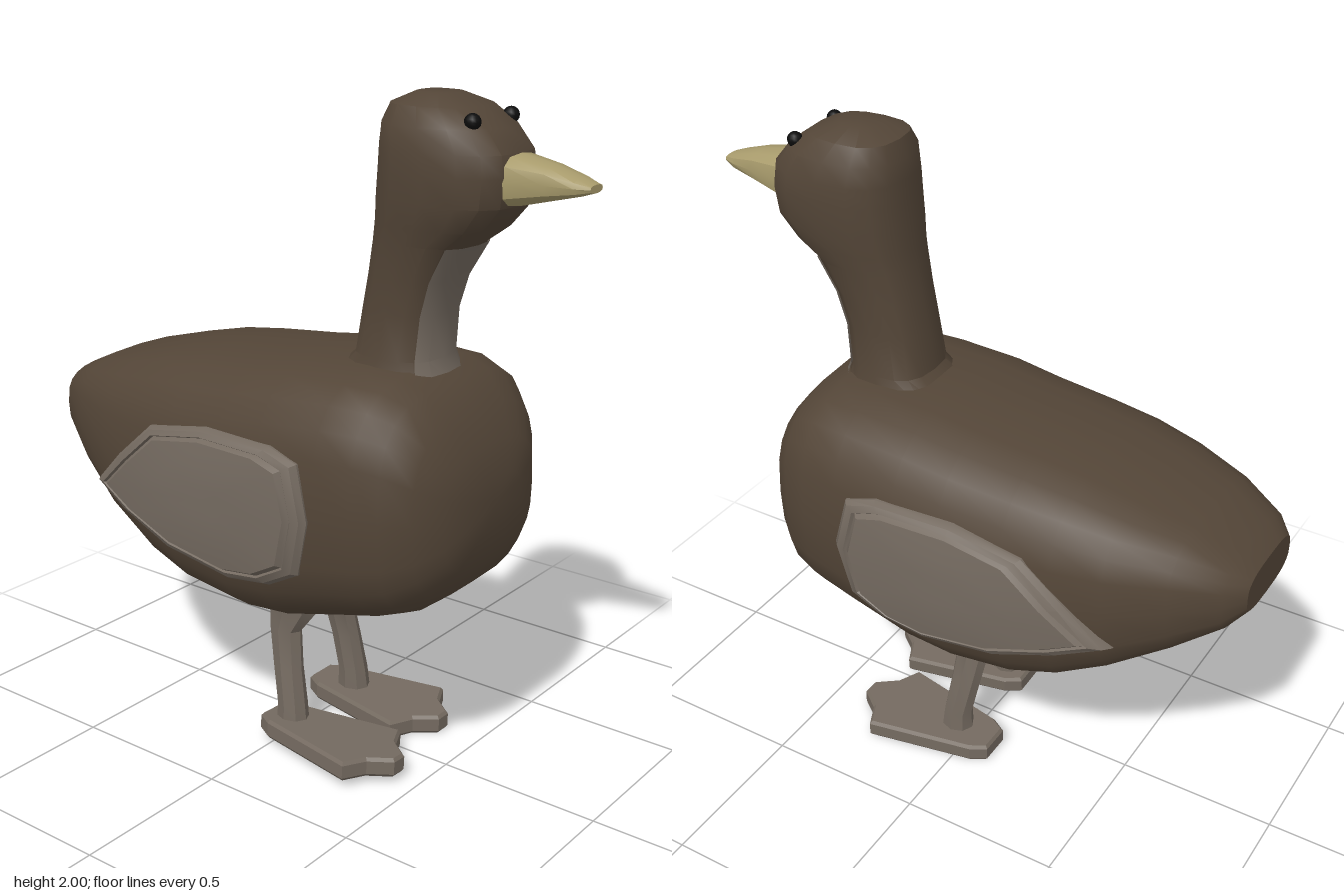
import * as THREE from 'three';
import { toCreasedNormals } from 'three/addons/utils/BufferGeometryUtils.js';

const mat = (color, side = THREE.FrontSide) => new THREE.MeshStandardMaterial({ color, side });
const BROWN = mat(0x534537), GREY = mat(0x746a60), THROAT = mat(0x746a60, THREE.DoubleSide);
const BEAK = mat(0xa89b6c), BLACK = mat(0x0c0c0c);

function mesh(name, geometry, material) {
  const m = new THREE.Mesh(geometry, material);
  m.name = name;
  return m;
}

// Join equal-length rings of [x, y, z] points with quads, optionally closing the ends with fans.
function skin(rings, { flip = false, caps = true, crease = 0.6 } = {}) {
  const n = rings[0].length, pos = rings.flat(2), idx = [];
  const tri = (a, b, c) => (flip ? idx.push(a, c, b) : idx.push(a, b, c));
  for (let r = 0; r < rings.length - 1; r++) {
    for (let i = 0; i < (caps ? n : n - 1); i++) {
      const a = r * n + i, b = r * n + (i + 1) % n;
      tri(a, b, b + n);
      tri(a, b + n, a + n);
    }
  }
  if (caps) {
    [0, rings.length - 1].forEach((r, end) => {
      const mid = pos.length / 3;
      for (let k = 0; k < 3; k++) pos.push(rings[r].reduce((s, p) => s + p[k], 0) / n);
      for (let i = 0; i < n; i++) {
        const a = r * n + i, b = r * n + (i + 1) % n;
        end ? tri(mid, a, b) : tri(mid, b, a);
      }
    });
  }
  const g = new THREE.BufferGeometry();
  g.setAttribute('position', new THREE.Float32BufferAttribute(pos, 3));
  g.setIndex(idx);
  return toCreasedNormals(g, crease);
}

// Sections [t, low, high, halfWidth, centreX] as superellipses of power p, stacked along z or y.
function loft(sections, { axis = 'z', p = 2, n = 16, from = 0, to = 2 * Math.PI, crease = 0.6 } = {}) {
  const open = to - from < 6.2;
  const bend = (v) => Math.sign(v) * Math.abs(v) ** (2 / p);
  const rings = sections.map(([t, lo, hi, w, cx = 0]) =>
    Array.from({ length: open ? n + 1 : n }, (_, i) => {
      const a = from + ((to - from) * i) / n;
      const x = cx + w * bend(Math.cos(a)), s = (lo + hi) / 2 + ((hi - lo) / 2) * bend(Math.sin(a));
      return axis === 'z' ? [x, s, t] : [x, t, s];
    }));
  return skin(rings, { flip: axis === 'y', caps: !open, crease });
}

// Body from tail to breast
const BODY_POWER = 3.1;
const body = [
  [-0.9, 0.88, 1.01, 0.15], [-0.85, 0.82, 1.05, 0.21], [-0.72, 0.72, 1.11, 0.285],
  [-0.55, 0.6, 1.155, 0.35], [-0.4, 0.51, 1.19, 0.38], [-0.25, 0.455, 1.21, 0.395],
  [-0.05, 0.43, 1.23, 0.405], [0.1, 0.445, 1.25, 0.41], [0.3, 0.5, 1.255, 0.405],
  [0.42, 0.53, 1.25, 0.395], [0.5, 0.56, 1.22, 0.37], [0.57, 0.62, 1.14, 0.31],
  [0.62, 0.7, 1.05, 0.23], [0.645, 0.81, 0.96, 0.12],
];

// Half width of the body at a given height and depth
function bodyX(y, z) {
  const i = Math.max(1, body.findIndex((s) => s[0] >= z));
  const a = body[i - 1], b = body[i], t = (z - a[0]) / (b[0] - a[0]);
  const [lo, hi, w] = [1, 2, 3].map((k) => a[k] + (b[k] - a[k]) * t);
  const d = Math.min(1, Math.abs(y - (lo + hi) / 2) / ((hi - lo) / 2));
  return w * (1 - d ** BODY_POWER) ** (1 / BODY_POWER);
}

// Wing: rim and raised panel that follow the flank
const wingOutline = [
  [0.29, 0.86], [0.25, 1.02], [0.15, 1.05], [-0.1, 1.05], [-0.32, 1.01], [-0.46, 0.89], [-0.59, 0.775],
  [-0.45, 0.715], [-0.25, 0.645], [0, 0.61], [0.14, 0.63], [0.25, 0.69],
];
function wing(side) {
  const steps = [[1, -0.02], [1, 0.006], [0.96, 0.022], [0.89, 0.028], [0.87, 0.02], [0.83, 0.034], [0.5, 0.036], [0.2, 0.036]];
  const rings = steps.map(([s, off]) => wingOutline.map(([oz, oy]) => {
    const z = -0.08 + (oz + 0.08) * s, y = 0.845 + (oy - 0.845) * s;
    return [side * (bodyX(y, z) + off), y, z];
  }));
  return skin(rings, { flip: side > 0, crease: 0.5 });
}

// Webbed foot with its heel under the leg
function foot() {
  const half = [[0.05, -0.11], [0.08, -0.06], [0.148, 0.28], [0.075, 0.315], [0.025, 0.38]];
  const pts = [...half, ...half.map(([x, z]) => [-x, z]).reverse()];
  const shape = new THREE.Shape(pts.map(([x, z]) => new THREE.Vector2(x, -z)));
  const g = new THREE.ExtrudeGeometry(shape, { depth: 0.04, bevelEnabled: true, bevelThickness: 0.01, bevelSize: 0.008, bevelOffset: -0.008, bevelSegments: 1 });
  g.rotateX(-Math.PI / 2).translate(0, 0.01, 0);
  return g;
}

export function createModel() {
  const group = new THREE.Group();
  group.add(mesh('body', loft(body, { p: BODY_POWER, n: 24 }), BROWN));

  // Neck flaring into the back, then the head
  const neck = [
    [1.2, 0.12, 0.48, 0.155], [1.27, 0.195, 0.45, 0.132], [1.4, 0.215, 0.46, 0.125],
    [1.5, 0.235, 0.49, 0.13], [1.6, 0.25, 0.55, 0.14],
  ];
  const head = [
    [1.65, 0.255, 0.62, 0.152], [1.72, 0.26, 0.68, 0.165], [1.8, 0.267, 0.69, 0.17],
    [1.86, 0.27, 0.68, 0.168], [1.92, 0.275, 0.63, 0.155], [1.97, 0.295, 0.56, 0.122], [2, 0.36, 0.48, 0.055],
  ];
  const round = { axis: 'y', p: 2.7, n: 16 };
  group.add(mesh('neckAndHead', loft([...neck, ...head], round), BROWN));

  // Pale throat strip over the front of the neck
  const throat = neck.map(([y, lo, hi, w]) => [y, lo, hi + 0.006, w + 0.003]);
  group.add(mesh('throat', loft(throat, { ...round, n: 4, from: Math.PI / 4, to: (3 * Math.PI) / 4 }), THROAT));

  const beak = [[0.62, 1.71, 1.87, 0.09], [0.68, 1.72, 1.86, 0.086], [0.78, 1.745, 1.84, 0.066], [0.86, 1.765, 1.815, 0.05], [0.9, 1.778, 1.8, 0.032]];
  group.add(mesh('beak', loft(beak, { p: 2.6, n: 12 }), BEAK));

  for (const side of [1, -1]) {
    const name = side > 0 ? 'left' : 'right';
    const eye = mesh(name + 'Eye', new THREE.SphereGeometry(0.023, 12, 8), BLACK);
    eye.position.set(side * 0.094, 1.94, 0.585);
    group.add(eye, mesh(name + 'Wing', wing(side), GREY));

    // Leg and foot; the right foot steps slightly ahead
    const step = side > 0 ? 0 : 0.06, hip = side > 0 ? 0.108 : -0.125;
    const leg = [
      [0.04, -0.02, 0.09, 0.048, side * 0.158], [0.12, -0.015, 0.08, 0.045, side * 0.155],
      [0.24, -0.04, 0.06, 0.04, side * 0.147], [0.36, -0.06, 0.05, 0.04, hip + side * 0.015],
      [0.43, -0.07, 0.1, 0.058, hip], [0.5, -0.1, 0.12, 0.065, hip],
    ];
    group.add(mesh(name + 'Leg', loft(leg, { axis: 'y', n: 8, crease: 0.5 }), GREY));
    const f = mesh(name + 'Foot', foot(), GREY);
    f.position.set(side * 0.163, side > 0 ? 0 : 0.018, step);
    f.rotation.z = side > 0 ? 0 : -0.06;
    group.add(f);
  }
  return group;
}
